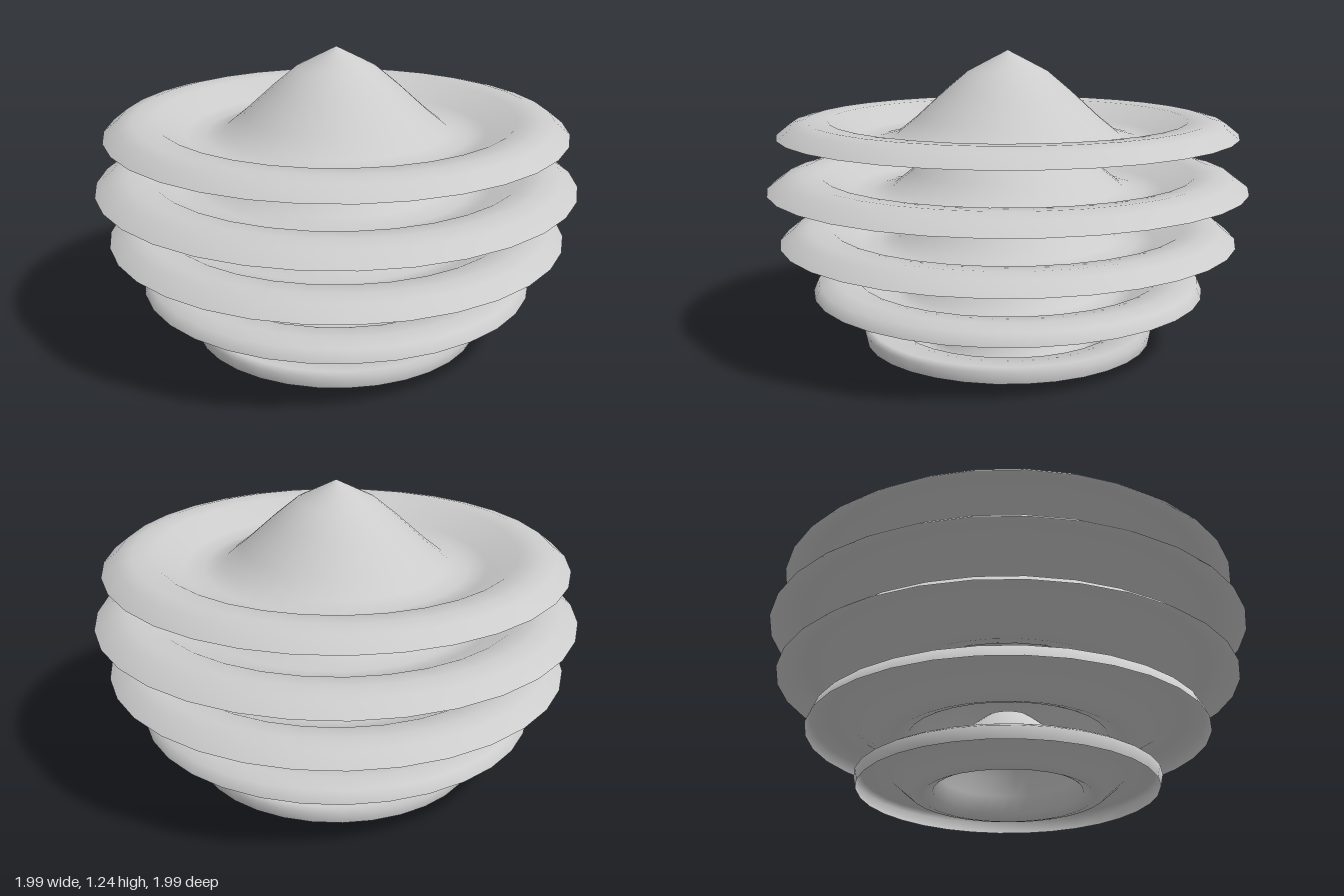
import * as THREE from 'three';

// Stacked hat-shaped discs: outer radius at the lip bottom / lip top, and the
// central cone as [radius, height], from base to tip.
const tiers = [
  { lip: 0.605, rim: 0.615, crown: 0.59, cone: [[0.3, 0.02], [0.275, 0.09], [0.25, 0.165], [0.205, 0.245], [0.1, 0.33], [0, 0.36]] },
  { lip: 0.82, rim: 0.80, crown: 0.73, cone: [[0.41, 0.02], [0.35, 0.085], [0.25, 0.23], [0.14, 0.3], [0, 0.36]] },
  { lip: 0.95, rim: 0.89, crown: 0.83, cone: [[0.46, 0.02], [0.39, 0.085], [0.26, 0.22], [0.165, 0.28], [0, 0.36]] },
  { lip: 0.995, rim: 0.93, crown: 0.86, cone: [[0.48, 0.02], [0.4, 0.085], [0.27, 0.22], [0.17, 0.28], [0, 0.36]] },
  { lip: 0.95, rim: 0.89, crown: 0.83, cone: [[0.46, 0.02], [0.38, 0.085], [0.26, 0.195], [0.165, 0.275], [0, 0.36]] },
];
const SPACING = 0.22;

// Thin shell: turned-down lip, raised rim, shallow trough, then the cone
function tierGeometry({ lip, rim, crown, cone }) {
  const profile = [
    [lip, 0.022],
    [rim, 0.07],
    [crown, 0.085],
    [lip * 0.78, 0.08],
    [lip * 0.65, 0.012],
    [lip * 0.57, 0],
    ...cone,
  ].map(([r, y]) => new THREE.Vector2(r, y));
  return new THREE.LatheGeometry(profile, 32);
}

export function createModel() {
  const model = new THREE.Group();
  model.name = 'tieredStack';
  const material = new THREE.MeshStandardMaterial({ color: 0xcccccc, side: THREE.DoubleSide });
  tiers.forEach((tier, i) => {
    const mesh = new THREE.Mesh(tierGeometry(tier), material);
    mesh.name = `disc${i + 1}`;
    mesh.position.y = i * SPACING;
    model.add(mesh);
  });
  return model;
}
